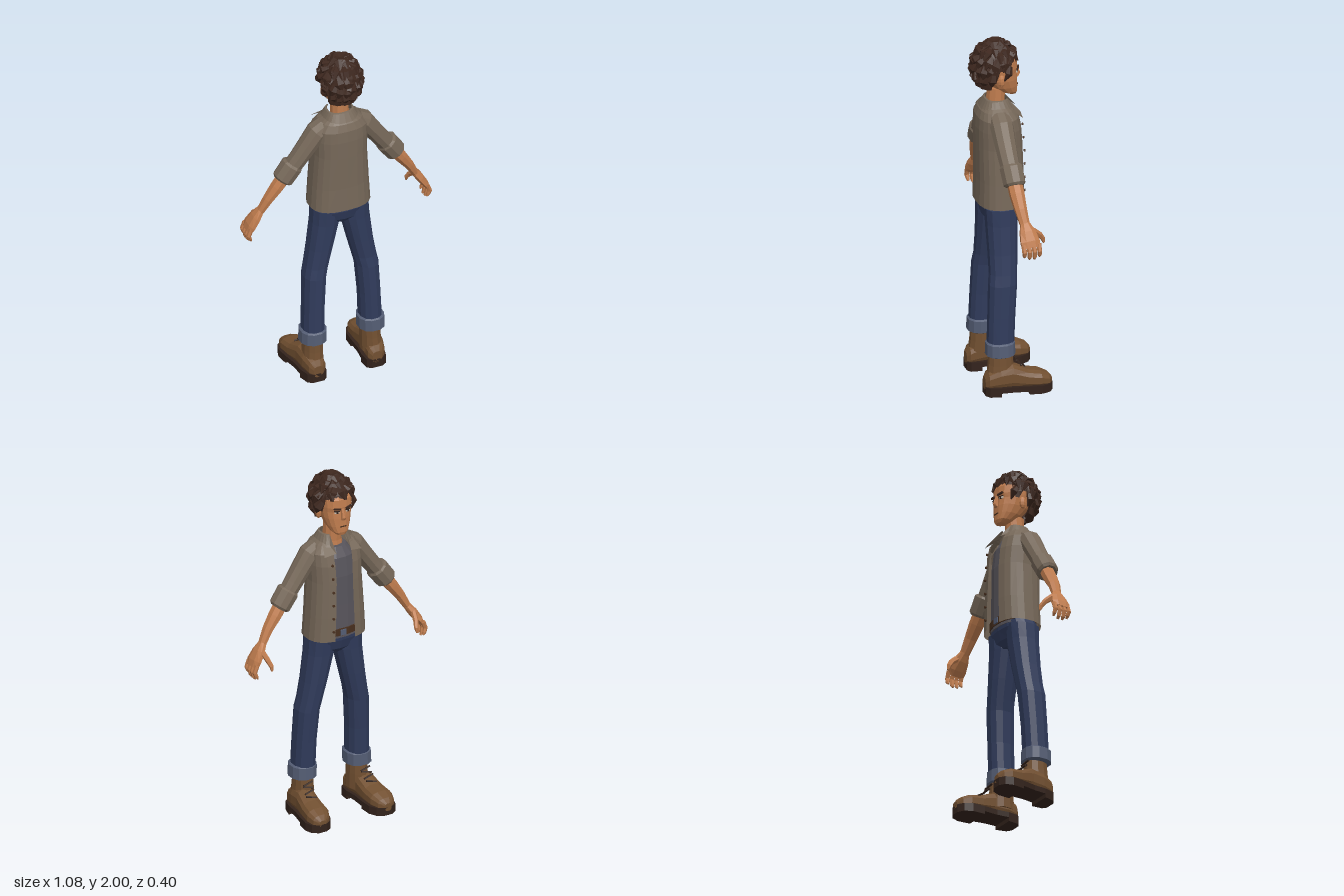
import * as THREE from 'three';

const mat = (name, color, side = THREE.FrontSide) =>
  Object.assign(new THREE.MeshStandardMaterial({ color, side, flatShading: true }), { name });
const M = {
  skin: mat('skin', 0xbf7c4e), hair: mat('dark brown hair', 0x3d271e, THREE.DoubleSide),
  jacket: mat('taupe cloth', 0x766859, THREE.DoubleSide), denim: mat('blue denim', 0x303b5b),
  turnup: mat('pale denim', 0x545d74), boot: mat('brown leather', 0x725031),
  sole: mat('dark rubber', 0x33231c), shirt: mat('grey cotton', 0x58555c),
  belt: mat('belt leather', 0x49301f), eye: mat('eye white', 0xc9c0b4),
};
const V = (x, y, z) => new THREE.Vector3(x, y, z);
const Z = V(0, 0, 1), Y = V(0, 1, 0);
const bend = (c, p) => Math.sign(c) * Math.abs(c) ** p;

// Geometry from a grid of points; wrap closes each row, capped rows get end fans
function grid(rows, wrap, caps) {
  const n = rows[0].length, pos = rows.flat().flatMap(p => [p.x, p.y, p.z]), idx = [];
  for (let i = 0; i + 1 < rows.length; i++)
    for (let j = 0; j < (wrap ? n : n - 1); j++) {
      const a = i * n + j, b = i * n + (j + 1) % n;
      idx.push(a, b, a + n, b, b + n, a + n);
    }
  if (caps) {
    const e = (rows.length - 1) * n;
    for (let j = 1; j + 1 < n; j++) idx.push(0, j + 1, j, e, e + j, e + j + 1);
  }
  const g = new THREE.BufferGeometry();
  g.setAttribute('position', new THREE.Float32BufferAttribute(pos, 3));
  g.setIndex(idx);
  g.computeVertexNormals();
  return g;
}

// Closed tube through [x, y, z, sideRadius, depthRadius] sections
function sweep(pts, n = 10, { ref = Z, dir, p = 1 } = {}) {
  const c = pts.map(q => V(q[0], q[1], q[2]));
  return grid(c.map((o, i) => {
    const t = dir ? dir.clone() : c[Math.min(i + 1, c.length - 1)].clone().sub(c[Math.max(i - 1, 0)]).normalize();
    const u = ref.clone().cross(t).normalize(), v = t.clone().cross(u);
    return Array.from({ length: n }, (_, j) => {
      const a = (j + 0.5) / n * Math.PI * 2;
      return o.clone().addScaledVector(u, bend(Math.cos(a), p) * pts[i][3])
        .addScaledVector(v, bend(Math.sin(a), p) * pts[i][4]);
    });
  }), true, true);
}

// Garment shell open at the front: [y, halfWidth, zBack, zFront, openingHalfWidth]
function openShell(rings, n = 20, p = 0.78) {
  return grid(rings.map(([y, rx, zb, zf, w]) => {
    const a0 = Math.asin((w / rx) ** (1 / p));
    return Array.from({ length: n + 1 }, (_, j) => {
      const a = a0 + (Math.PI * 2 - 2 * a0) * j / n;
      return V(rx * bend(Math.sin(a), p), y, (zb + zf) / 2 - (zb - zf) / 2 * bend(Math.cos(a), p));
    });
  }), false, false);
}

export function createModel() {
  const root = new THREE.Group();
  root.name = 'standingMan';
  const add = (name, geo, m, parent = root) => {
    const mesh = new THREE.Mesh(geo, m);
    mesh.name = name;
    parent.add(mesh);
    return mesh;
  };
  const box = (name, m, size, at, ry = 0, rz = 0, rx = 0) => {
    const b = add(name, new THREE.BoxGeometry(...size), m);
    b.position.set(...at);
    b.rotation.set(rx, ry, rz);
    return b;
  };
  let seed = 7;
  const rnd = () => (seed = (seed * 16807) % 2147483647) / 2147483647;

  // Head, neck and face (the face looks toward -z)
  add('neck', sweep([[0, 1.54, .05, .07, .055], [0, 1.61, .055, .052, .052], [0, 1.72, .05, .048, .052]]), M.skin);
  add('head', sweep([
    [0, 1.672, -.038, .026, .022], [0, 1.69, -.02, .047, .046], [0, 1.725, .005, .065, .07],
    [0, 1.77, .025, .079, .088], [0, 1.81, .033, .085, .091], [0, 1.835, .034, .087, .098],
    [0, 1.88, .04, .087, .1], [0, 1.93, .05, .07, .08], [0, 1.955, .05, .04, .045],
  ], 16, { dir: Y, p: 0.82 }), M.skin);
  add('nose', sweep([[0, 1.83, -.06, .008, .008], [0, 1.78, -.07, .013, .016], [0, 1.765, -.064, .015, .012]], 6, { dir: V(0, -1, 0) }), M.skin);
  box('mouth', M.belt, [.038, .005, .008], [0, 1.725, -.064]);
  for (const s of [1, -1]) {
    box('eye', M.eye, [.026, .011, .008], [s * .034, 1.811, -.056], -s * .25);
    box('pupil', M.sole, [.011, .012, .008], [s * .033, 1.811, -.0585], -s * .25);
    box('upperLid', M.sole, [.03, .004, .009], [s * .034, 1.818, -.058], -s * .25);
    box('eyebrow', M.hair, [.038, .009, .009], [s * .035, 1.833, -.063], -s * .25, s * .15);
    const ear = add('ear', new THREE.SphereGeometry(1, 7, 6), M.skin);
    ear.scale.set(.014, .034, .022);
    ear.position.set(s * .09, 1.785, .045);
  }

  // Hair: a cap following the hairline, covered with pointed locks
  const hairAt = (th, ph, k = 1) => V(.108 * k * Math.cos(ph) * Math.sin(th),
    1.845 + .128 * k * Math.sin(ph), .058 - .12 * k * Math.cos(ph) * Math.cos(th));
  const hairline = th => {
    const f = Math.abs(Math.atan2(Math.sin(th), Math.cos(th))) / Math.PI;
    return f < .29 ? .28 : f < .4 ? -.3 : f < .55 ? .02 : f < .64 ? -.6 : -1.08;
  };
  const capRows = Array.from({ length: 8 }, (_, i) => Array.from({ length: 37 }, (_, j) => {
    const th = j / 36 * Math.PI * 2, lo = hairline(th);
    return hairAt(th, lo + (Math.PI / 2 - lo) * i / 7);
  }));
  add('hairCap', grid(capRows.reverse(), false), M.hair);
  const locks = new THREE.Group();
  locks.name = 'hairLocks';
  root.add(locks);
  for (let k = 0; k < 6; k++)
    for (let j = 0; j < 20; j++) {
      const th = (j + (k % 2) / 2 + rnd() * .4) / 20 * Math.PI * 2;
      const ph = hairline(th) + .3 + k * .4 + rnd() * .12;
      if (ph > 1.3 || rnd() > Math.cos(ph) + .35) continue;
      const d = (rnd() - .35) * .3, w = .021 + rnd() * .012;
      const a = hairAt(th, ph + .15, .98), b = hairAt(th + d, ph - .1, 1.09 + rnd() * .03), c = hairAt(th + 2 * d, ph - .42, 1.05 + rnd() * .07);
      add('lock', sweep([[...a, w * .7, .01], [...b, w, .014], [...c, .003, .003]], 5, { ref: hairAt(th, ph).sub(V(0, 1.845, .058)).normalize() }), M.hair, locks);
    }
  for (let j = 0; j < 7; j++) {
    const th = j / 7 * Math.PI * 2, a = hairAt(th + 2.4, 1.35, 1.02), b = hairAt(th, 1.3, 1.13), c = hairAt(th, .85, 1.12);
    add('crownLock', sweep([[...a, .022, .01], [...b, .03, .012], [...c, .004, .004]], 5, { ref: Y }), M.hair, locks);
  }

  // T-shirt, belt and open jacket
  add('tShirt', sweep([[0, 1.06, .04, .14, .1], [0, 1.25, .042, .135, .1], [0, 1.42, .043, .13, .102],
    [0, 1.53, .045, .115, .093], [0, 1.585, .05, .07, .07]], 16, { dir: Y, p: .85 }), M.shirt);
  add('belt', sweep([[0, 1.075, .042, .146, .108], [0, 1.115, .042, .146, .108]], 16, { dir: Y, p: .85 }), M.belt);
  box('buckle', M.turnup, [.035, .03, .008], [0, 1.095, -.068]);
  add('jacketBody', openShell([
    [1.06, .172, .165, -.09, .062], [1.2, .163, .162, -.09, .056], [1.4, .15, .165, -.085, .05],
    [1.5, .153, .166, -.077, .053], [1.565, .15, .162, -.062, .055], [1.605, .12, .147, -.036, .052],
    [1.635, .078, .118, -.008, .046],
  ]), M.jacket);
  add('collar', openShell([[1.612, .085, .12, -.02, .05], [1.66, .066, .106, -.004, .044],
    [1.657, .075, .115, -.012, .048], [1.61, .103, .142, -.035, .058]]), M.jacket);
  for (const s of [1, -1]) {
    const flap = [[V(.046, 1.655, -.005), V(.078, 1.64, .03)], [V(.046, 1.575, -.072), V(.115, 1.565, -.066)]];
    flap.flat().forEach(p => { p.x *= s; });
    add('lapel', grid(flap, false), M.jacket);
  }
  for (let i = 0; i < 6; i++) {
    const b = add('button', new THREE.CylinderGeometry(.007, .007, .008, 8), M.belt);
    b.rotation.x = Math.PI / 2;
    b.position.set(.072, 1.12 + i * .078, -.088 + Math.max(0, i - 3) * .006);
  }

  // Jeans seat
  add('jeansSeat', sweep([[0, 1.1, .043, .142, .1], [0, 1.04, .047, .162, .1], [0, .985, .048, .12, .085], [0, .955, .05, .05, .06]], 14, { dir: V(0, -1, 0), p: .85 }), M.denim);

  // Foot centre line and half width along z
  const stations = [[.168, .03], [.15, .052], [.09, .062], [.02, .06], [-.06, .068], [-.13, .071], [-.175, .054], [-.196, .022]];
  const footX = z => .172 - (z - .168) * .085;

  for (const s of [1, -1]) {
    const side = s > 0 ? 'left' : 'right';
    const limb = (name, pts, m, n, opt) => add(side + name, sweep(pts.map(([x, ...r]) => [s * x, ...r]), n, opt), m);

    // Arm
    limb('Sleeve', [[.09, 1.575, .06, .05, .06], [.135, 1.545, .06, .058, .065], [.19, 1.47, .058, .052, .06],
      [.24, 1.4, .055, .05, .056], [.3, 1.32, .05, .047, .052]], M.jacket);
    limb('SleeveCuff', [[.268, 1.37, .05, .052, .056], [.275, 1.36, .05, .062, .064],
      [.328, 1.287, .047, .06, .062], [.335, 1.277, .047, .048, .05]], M.jacket, 10);
    limb('Forearm', [[.31, 1.31, .047, .038, .042], [.36, 1.24, .043, .036, .042], [.41, 1.17, .037, .028, .035],
      [.455, 1.09, .025, .02, .027]], M.skin, 8);
    limb('Palm', [[.447, 1.105, .026, .02, .026], [.475, 1.065, .02, .024, .045], [.505, 1.02, .014, .021, .056],
      [.522, .99, .012, .014, .052]], M.skin, 8, { p: .85 });
    [.052, .024, -.004, -.032].forEach((z, i) => {
      const tip = [.935, .922, .92, .932][i];
      limb('Finger', [[.515, 1.01, z, .013, .014], [.53, .97, z, .013, .013], [.522, tip + .015, z - .003, .011, .012],
        [.513, tip, z - .004, .005, .006]], M.skin, 6);
    });
    limb('Thumb', [[.47, 1.07, -.01, .015, .018], [.46, 1.035, -.052, .014, .016], [.45, 1.005, -.073, .012, .013],
      [.45, .98, -.08, .005, .006]], M.skin, 6);

    // Leg
    limb('JeansLeg', [[.085, 1.05, .047, .077, .092], [.088, .96, .048, .08, .086], [.117, .8, .05, .07, .08],
      [.14, .69, .054, .065, .076], [.153, .63, .06, .064, .078], [.163, .45, .07, .061, .075],
      [.168, .25, .078, .063, .074]], M.denim, 12, { dir: V(0, -1, 0), p: .88 });
    limb('JeansTurnup', [[.168, .302, .079, .064, .072], [.168, .295, .079, .074, .08], [.17, .228, .079, .075, .081],
      [.17, .22, .079, .06, .066]], M.turnup, 12, { dir: V(0, -1, 0), p: .88 });

    // Boot
    limb('BootShaft', [[.166, .26, .076, .052, .064], [.168, .17, .076, .056, .07], [.172, .08, .08, .06, .078]], M.boot, 12, { dir: V(0, -1, 0) });
    const tops = [.1, .13, .16, .17, .135, .122, .1, .075];
    limb('BootFoot', stations.map(([z, w], i) => [footX(z), (tops[i] + .03) / 2, z, w * .95, (tops[i] - .03) / 2]), M.boot, 12,
      { ref: Y, dir: V(0, 0, -1), p: .75 });
    const slab = (name, from, to, y, h) => {
      const st = stations.filter(([z]) => z <= from && z >= to);
      const edge = k => st.map(([z, w]) => new THREE.Vector2(s * (footX(z) + k * w * 1.08), -z));
      const g = new THREE.ExtrudeGeometry(new THREE.Shape([...edge(1), ...edge(-1).reverse()]), { depth: h, bevelEnabled: false });
      g.rotateX(-Math.PI / 2);
      g.translate(0, y, 0);
      add(side + name, g, M.sole);
    };
    slab('Sole', 1, -1, .022, .03);
    slab('Heel', 1, .05, 0, .025);
    slab('ForeSole', -.05, -1, .006, .02);
    for (let i = 0; i < 4; i++)
      box(side + 'Lace', M.sole, [.06, .008, .009], [s * (.178 + i * .003), .205 - i * .019, [.002, -.004, -.022, -.047][i]], 0, (i % 2 ? .25 : -.25), .5);
  }
  return root;
}
